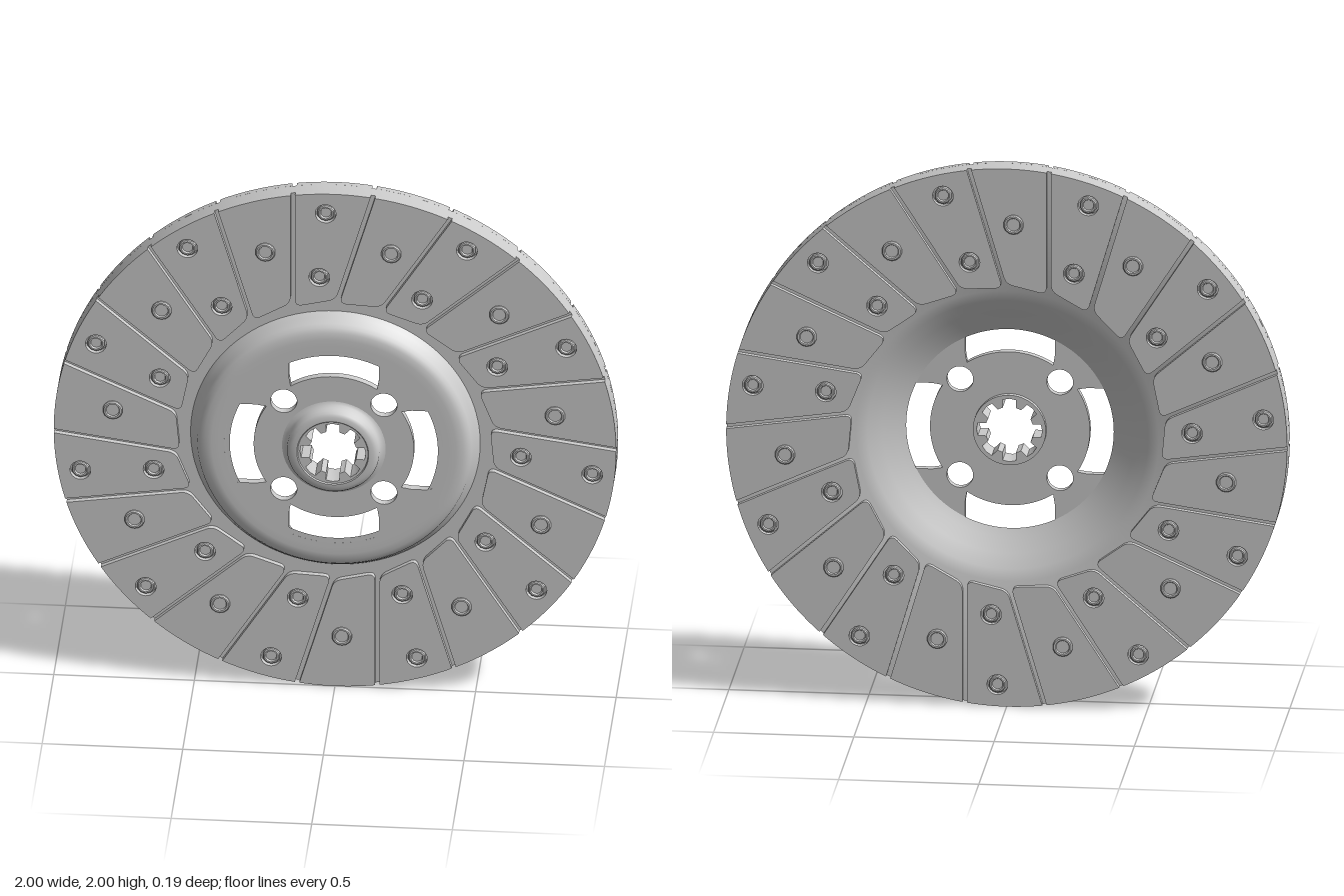
import * as THREE from 'three';
import { toCreasedNormals } from 'three/addons/utils/BufferGeometryUtils.js';

const PADS = 22, STEP = (Math.PI * 2) / PADS;
const FRONT = 0, BACK = -0.09, PAD = 0.02; // face heights and pad thickness
const OFFSET = 0.15, GAP = 0.008; // grooves run beside the centre, not through it
const mat = new THREE.MeshStandardMaterial({ color: 0xcccccc });

function add(parent, name, geo, crease = 0.6) {
  const mesh = new THREE.Mesh(toCreasedNormals(geo, crease), mat);
  mesh.name = name;
  parent.add(mesh);
  return mesh;
}

// Turned part around z from [radius, z] pairs, listed anticlockwise
function turned(pairs, segments) {
  return new THREE.LatheGeometry(pairs.map(p => new THREE.Vector2(p[0], p[1])), segments).rotateX(Math.PI / 2);
}

function slab(shape, z0, z1, curveSegments = 12) {
  return new THREE.ExtrudeGeometry(shape, { depth: z1 - z0, bevelEnabled: false, curveSegments }).translate(0, 0, z0);
}

function circleHole(x, y, r) {
  return new THREE.Path().absarc(x, y, r, 0, Math.PI * 2, true);
}

const polar = (r, a) => new THREE.Vector2(r * Math.cos(a), r * Math.sin(a));

// Point at radius r on the line of direction a, shifted sideways by off
function onLine(a, off, r) {
  return polar(r, a + Math.asin(off / r));
}

// One friction pad; hole positions are optional
function padShape(a, holes) {
  const ro = onLine(a - STEP, OFFSET + GAP, 1), lo = onLine(a, OFFSET - GAP, 1);
  const ri = onLine(a - STEP, OFFSET + GAP, 0.572), li = onLine(a, OFFSET - GAP, 0.556);
  const toward = (p, q) => p.clone().add(q.clone().sub(p).setLength(0.028));
  const s = new THREE.Shape();
  s.moveTo(ro.x, ro.y);
  s.absarc(0, 0, 1, ro.angle(), lo.angle() < ro.angle() ? lo.angle() + Math.PI * 2 : lo.angle(), false);
  for (const [c, from, to] of [[li, lo, ri], [ri, li, ro]]) {
    const p = toward(c, from), q = toward(c, to);
    s.lineTo(p.x, p.y);
    s.quadraticCurveTo(c.x, c.y, q.x, q.y);
  }
  s.closePath();
  for (const h of holes) s.holes.push(circleHole(h.x, h.y, 0.037));
  return s;
}

export function createModel() {
  const model = new THREE.Group();
  const disc = new THREE.Group();
  disc.name = 'clutchDisc';
  disc.position.y = 1;
  model.add(disc);

  // Core ring with the dished shoulder
  add(disc, 'coreAndDish', turned([
    [0.37, 0.02], [0.40, 0.005], [0.45, -0.025], [0.5, -0.053], [0.54, -0.07],
    [1, -0.07], [1, -0.02], [0.515, -0.02], [0.503, 0], [0.492, 0.012], [0.488, 0.025],
    [0.478, 0.038], [0.46, 0.046], [0.435, 0.049], [0.4, 0.048], [0.37, 0.048],
  ], 132), 0.7);

  // Flat web with four windows and four round holes
  const web = new THREE.Shape().absarc(0, 0, 0.41, 0, Math.PI * 2, false);
  web.holes.push(circleHole(0, 0, 0.13));
  for (let i = 0; i < 4; i++) {
    const mid = i * Math.PI / 2;
    const inner = Math.asin(0.16 / 0.32), outer = Math.asin(0.16 / 0.39);
    const w = new THREE.Path();
    w.absarc(0, 0, 0.39, mid - outer + 0.04, mid + outer - 0.04, false);
    const c = polar(0.39, mid + outer), d = polar(0.375, mid + Math.asin(0.16 / 0.375));
    w.quadraticCurveTo(c.x, c.y, d.x, d.y);
    const e = polar(0.32, mid + inner);
    w.lineTo(e.x, e.y);
    w.absarc(0, 0, 0.285, mid + 0.57, mid - 0.57, true);
    const f = polar(0.32, mid - inner), g = polar(0.375, mid - Math.asin(0.16 / 0.375));
    w.lineTo(f.x, f.y);
    w.lineTo(g.x, g.y);
    w.closePath();
    web.holes.push(w);
    const h = polar(0.252, mid + Math.PI / 4);
    web.holes.push(circleHole(h.x, h.y, 0.047));
  }
  add(disc, 'web', slab(web, 0.02, 0.0482, 32));

  // Rounded boss around the bore
  add(disc, 'boss', turned([
    [0.125, 0.025], [0.185, 0.04], [0.185, 0.048], [0.172, 0.052], [0.166, 0.062], [0.164, 0.078],
    [0.157, 0.088], [0.145, 0.094], [0.128, 0.095], [0.125, 0.092], [0.125, 0.025],
  ], 64), 0.8);

  // Splined sleeve with eight teeth
  const sleeve = new THREE.Shape().absarc(0, 0, 0.13, 0, Math.PI * 2, false);
  const bore = [];
  for (let i = 0; i < 8; i++) {
    const a = i * Math.PI / 4;
    bore.push(polar(0.086, a - 0.28), polar(0.115, a - 0.21), polar(0.117, a),
      polar(0.115, a + 0.21), polar(0.086, a + 0.28), polar(0.086, a + Math.PI / 8));
  }
  sleeve.holes.push(new THREE.Path(bore.reverse()));
  add(disc, 'splinedSleeve', slab(sleeve, 0, 0.09, 32));

  // Friction pads on both faces, alternately with two sunk rivets or one raised one
  const raised = turned([[0.022, -0.004], [0.036, -0.004], [0.036, 0.006], [0.032, 0.01],
    [0.026, 0.01], [0.023, 0.004], [0, 0.004]], 14);
  const sunk = turned([[0.031, -0.02], [0.031, -0.005], [0.027, -0.002], [0.022, -0.002],
    [0.019, -0.01], [0, -0.01]], 10);
  for (const side of ['front', 'back']) {
    const front = side === 'front';
    const face = new THREE.Group();
    face.name = side + 'Facing';
    disc.add(face);
    for (let i = 0; i < PADS; i++) {
      const a = Math.PI / 2 - i * STEP;
      const pair = (i % 2 === 0) === front;
      const spots = pair
        ? [polar(0.92, a + 0.036), polar(0.662, a + 0.084)]
        : [polar(0.795, a + 0.031)];
      const shape = padShape(a, pair ? spots : []);
      add(face, 'frictionPad', front ? slab(shape, FRONT - PAD, FRONT) : slab(shape, BACK, BACK + PAD));
      for (const p of spots) {
        const rivet = add(face, pair ? 'sunkRivet' : 'raisedRivet', pair ? sunk : raised);
        rivet.position.set(p.x, p.y, front ? FRONT : BACK);
        if (!front) rivet.rotation.y = Math.PI;
      }
    }
  }
  return model;
}
